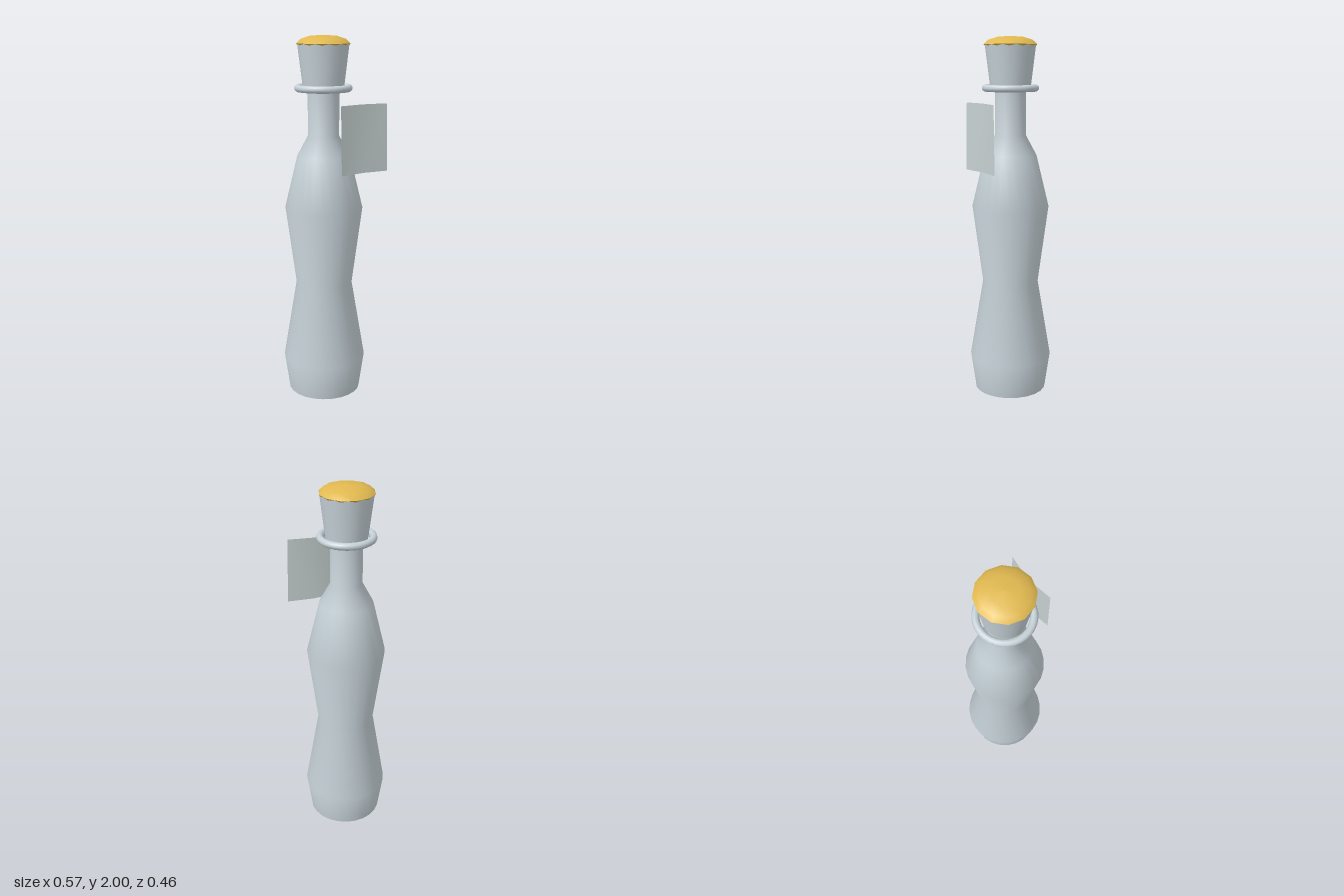
import * as THREE from 'three';

const glass = new THREE.MeshStandardMaterial({ color: 0xc6d2d8, side: THREE.DoubleSide });
glass.name = 'paleGlass';
const gold = new THREE.MeshStandardMaterial({ color: 0xe0b84f, side: THREE.DoubleSide });
gold.name = 'goldCap';
const paper = new THREE.MeshStandardMaterial({ color: 0xc6d0d0, side: THREE.DoubleSide });
paper.name = 'greyTag';

// Turned part from [radius, height] pairs listed bottom to top
function turned(name, points, sides, material) {
  const profile = points.map(([r, y]) => new THREE.Vector2(r, y));
  const mesh = new THREE.Mesh(new THREE.LatheGeometry(profile, sides), material);
  mesh.name = name;
  return mesh;
}

export function createModel() {
  const model = new THREE.Group();
  model.name = 'stopperedBottle';

  const bottle = new THREE.Group();
  bottle.name = 'bottle';
  bottle.position.set(-0.057, 0, -0.003);
  model.add(bottle);

  // Waisted body with shoulders and a straight neck
  bottle.add(turned('body', [
    [0.2, 0.02], [0.228, 0.215], [0.155, 0.65], [0.212, 1.08],
    [0.143, 1.365], [0.084, 1.475], [0.084, 1.73],
  ], 24, glass));
  bottle.add(turned('base', [[0, 0], [0.2, 0.02]], 24, glass));

  // Rounded ring at the mouth
  const ring = new THREE.Mesh(new THREE.TorusGeometry(0.136, 0.019, 10, 32), glass);
  ring.name = 'neckRing';
  ring.rotation.x = Math.PI / 2;
  ring.position.y = 1.727;
  bottle.add(ring);

  // Tapered stopper
  const stopper = new THREE.Mesh(new THREE.CylinderGeometry(0.137, 0.107, 0.245, 24), glass);
  stopper.name = 'stopper';
  stopper.position.y = 1.8325;
  bottle.add(stopper);

  // Shallow domed cap with a flat underside
  bottle.add(turned('capDome', [
    [0.143, 1.957], [0.118, 1.98], [0.07, 1.995], [0, 2],
  ], 12, gold));
  bottle.add(turned('capUnderside', [[0, 1.945], [0.134, 1.945], [0.143, 1.957]], 12, gold));

  // Bent, slightly twisted hanging tag: columns of [top, bottom] corners
  const columns = [
    [[0.042, 1.655, 0.225], [0.047, 1.298, 0.231]],
    [[0.15, 1.655, 0.13], [0.157, 1.298, 0.134]],
    [[0.277, 1.655, 0.07], [0.283, 1.298, 0.066]],
  ];
  const tagGeometry = new THREE.BufferGeometry();
  tagGeometry.setAttribute('position', new THREE.Float32BufferAttribute(columns.flat(2), 3));
  const faces = [];
  for (let i = 0; i < 4; i += 2) faces.push(i, i + 1, i + 2, i + 2, i + 1, i + 3);
  tagGeometry.setIndex(faces);
  tagGeometry.computeVertexNormals();
  const tag = new THREE.Mesh(tagGeometry, paper);
  tag.name = 'tag';
  model.add(tag);

  return model;
}
